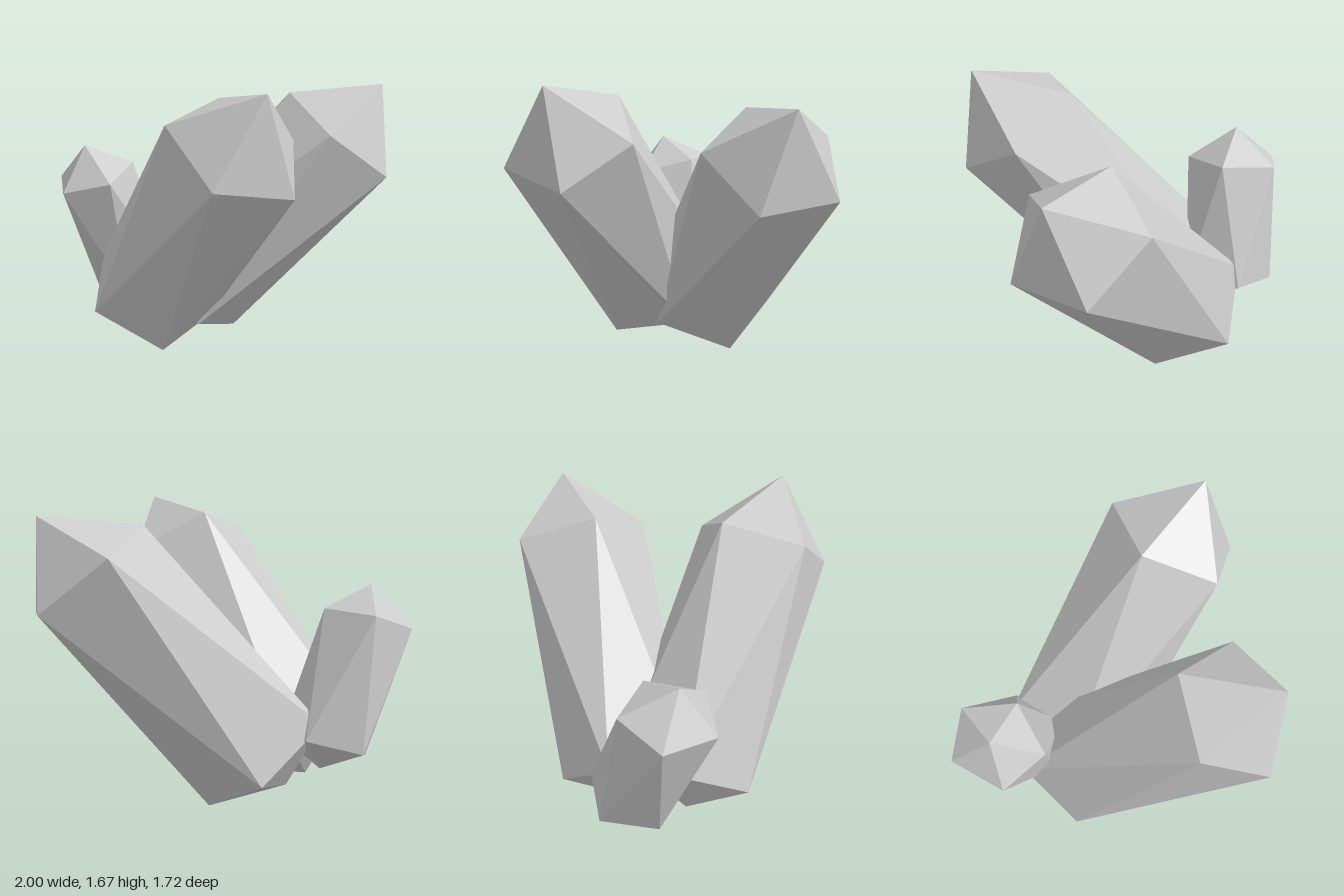
import * as THREE from 'three';

// Each crystal is a stretched icosahedron: a tip, a five-cornered shoulder,
// a root ring mirrored through the crystal's centre, and a blunt base point.
// Shoulder corners run anticlockwise seen from the tip.
const CRYSTALS = [
  {
    name: 'frontCrystal',
    tip: [0.17, 1.67, 0.72],
    shoulder: [[-0.34, 1.49, 0.55], [-0.11, 1.2, 0.86], [0.32, 1.12, 0.69], [0.36, 1.36, 0.29], [-0.04, 1.58, 0.2]],
    centre: [-0.205, 0.82, 0.14],
    base: [-0.53, 0.09, -0.28],
  },
  {
    name: 'leftCrystal',
    tip: [0.98, 1.58, -0.33],
    shoulder: [[0.42, 1.53, -0.36], [0.61, 1.33, 0.02], [0.98, 1.05, -0.12], [1.0, 1.09, -0.59], [0.66, 1.38, -0.74]],
    centre: [0.255, 0.765, -0.42],
    base: [-0.35, 0.09, -0.48],
  },
  {
    name: 'smallBackCrystal',
    tip: [-0.83, 1.2, -0.47],
    shoulder: [[-0.96, 0.93, -0.32], [-0.67, 1.0, -0.24], [-0.54, 1.08, -0.53], [-0.74, 1.06, -0.77], [-1.0, 0.97, -0.65]],
    centre: [-0.66, 0.67, -0.55],
    base: [-0.51, 0.2, -0.58],
  },
];

function crystalGeometry({ tip, shoulder, centre, base }) {
  // Root corner i sits below the edge between shoulder corners i and i + 1
  const root = shoulder.map((_, i) => shoulder[(i + 3) % 5].map((v, k) => 2 * centre[k] - v));
  const points = [];
  const face = (...corners) => corners.forEach((c) => points.push(...c));

  for (let i = 0; i < 5; i++) {
    const j = (i + 1) % 5;
    face(tip, shoulder[i], shoulder[j]); // point
    face(shoulder[i], root[i], shoulder[j]); // long sides
    face(root[i], root[j], shoulder[j]);
    face(base, root[j], root[i]); // underside
  }

  const geometry = new THREE.BufferGeometry();
  geometry.setAttribute('position', new THREE.Float32BufferAttribute(points, 3));
  geometry.computeVertexNormals();
  return geometry;
}

export function createModel() {
  const group = new THREE.Group();
  group.name = 'crystalCluster';
  const material = new THREE.MeshStandardMaterial({ color: 0xcccccc, flatShading: true });

  for (const crystal of CRYSTALS) {
    const mesh = new THREE.Mesh(crystalGeometry(crystal), material);
    mesh.name = crystal.name;
    group.add(mesh);
  }
  return group;
}
